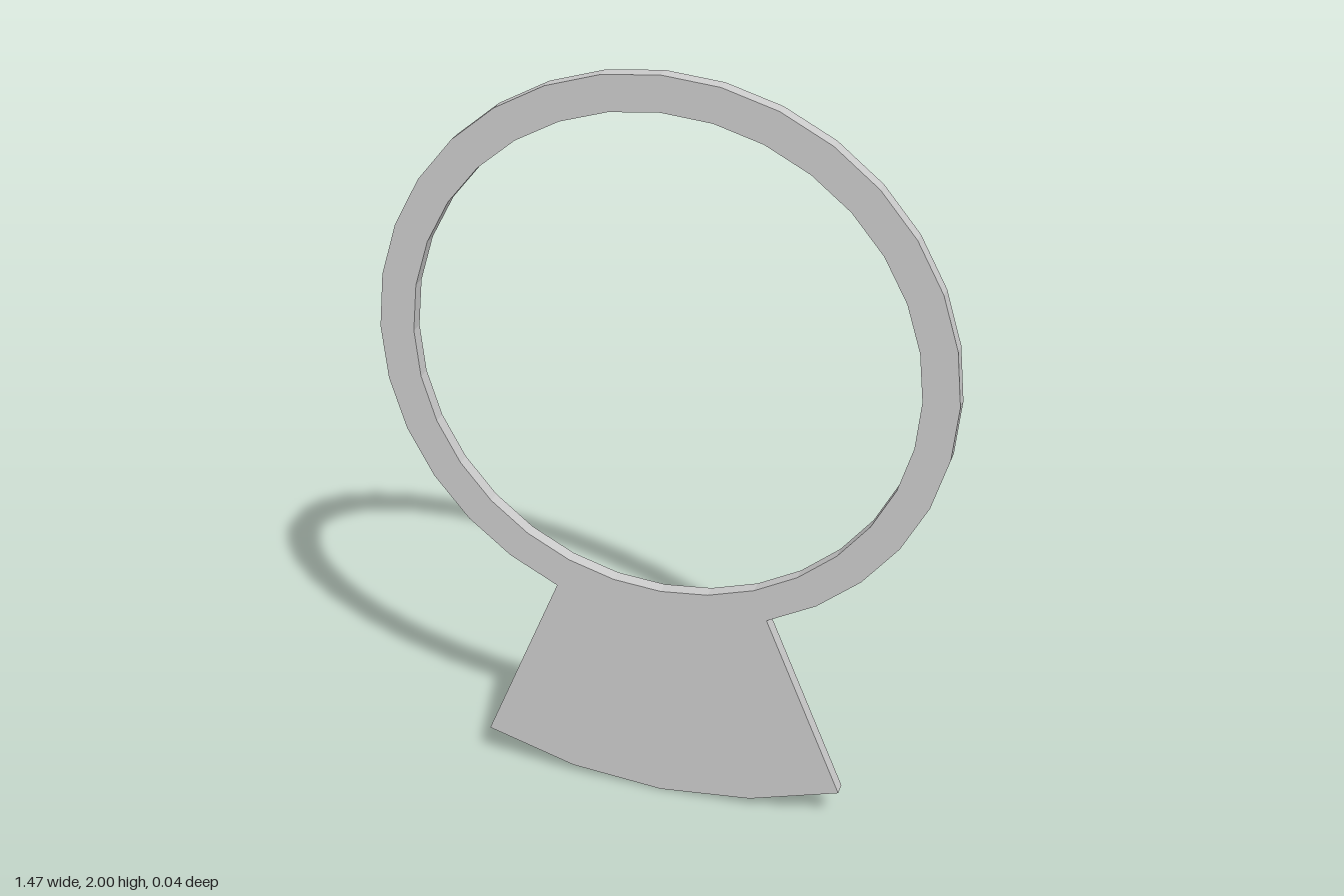
import * as THREE from 'three';

const SEGMENTS = 32;
const CENTRE_Y = 1.267;
const OUTER = 0.733;
const INNER = 0.643;
const FAN = 1.267; // radius of the fan's lower edge, about the ring centre
const DEPTH = 0.036;

// Points on an arc about the ring centre; steps count up from +x
function arc(radius, from, to) {
  const points = [];
  for (let i = from; i <= to; i++) {
    const a = (i / SEGMENTS) * Math.PI * 2;
    points.push(new THREE.Vector2(radius * Math.cos(a), CENTRE_Y + radius * Math.sin(a)));
  }
  return points;
}

export function createModel() {
  const group = new THREE.Group();
  group.name = 'ringOnFanBase';

  // Outline: ring from the right joint over the top to the left joint, then the fan base
  const outline = new THREE.Shape([...arc(OUTER, -6, 22), ...arc(FAN, 22, 26)]);
  // Round opening
  outline.holes.push(new THREE.Path(arc(INNER, 0, SEGMENTS - 1).reverse()));

  const geometry = new THREE.ExtrudeGeometry(outline, { depth: DEPTH, bevelEnabled: false });
  geometry.translate(0, 0, -DEPTH / 2);

  const plate = new THREE.Mesh(
    geometry,
    new THREE.MeshStandardMaterial({ color: 0xcccccc, flatShading: true })
  );
  plate.name = 'ringAndFanBase';
  group.add(plate);
  return group;
}
